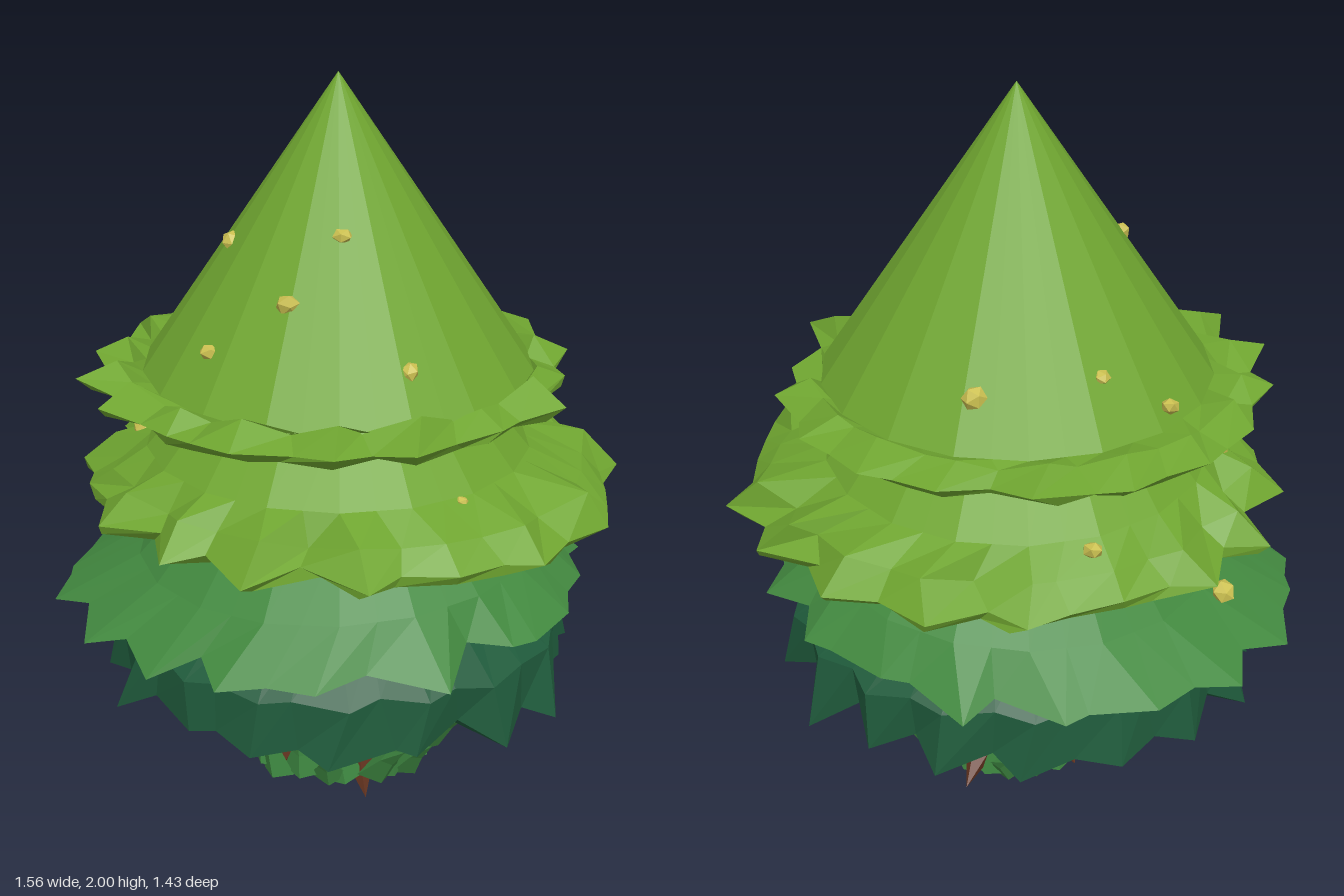
import * as THREE from 'three';
import { mergeGeometries } from 'three/addons/utils/BufferGeometryUtils.js';

const mat = (name, color) => Object.assign(new THREE.MeshStandardMaterial({ color }), { name });

function seeded(seed) {
  let s = seed;
  return () => {
    s = (s * 16807) % 2147483647;
    return s / 2147483647;
  };
}

// unshared corners give every facet its own normal
function faceted(geo) {
  const g = geo.index ? geo.toNonIndexed() : geo;
  g.deleteAttribute('uv');
  g.computeVertexNormals();
  return g;
}

// Foliage tier lofted from rings, top to bottom: [radius, y, radial jag, vertical jag].
// A positive vertical jag makes outward teeth droop, a negative one lifts them.
function tierGeometry(rings, { seed, cx = 0, cz = 0, sx = 1, tiltX = 0, tiltZ = 0 }) {
  const n = 36, rnd = seeded(seed);
  const teeth = Array.from({ length: n }, (_, j) => (j % 2 ? -0.5 : 0.5) + (rnd() - 0.5));
  const pos = [], index = [];
  rings.forEach(([r, y, dr = 0, dy = 0]) => {
    const k = dr ? 1 : 0;
    for (let j = 0; j < n; j++) {
      const a = ((j + k * (rnd() - 0.5) * 0.6) / n) * Math.PI * 2;
      const flat = j % 2 && !dr ? Math.cos((Math.PI * 2) / n) : 1;
      const t = teeth[j] * 0.85 + (rnd() - 0.5) * 0.6;
      const R = r * flat + dr * t;
      const x = Math.cos(a) * R * (k ? sx : 1) + cx * k, z = Math.sin(a) * R + cz * k;
      pos.push(x, y - dy * t + tiltX * x + tiltZ * z, z);
    }
  });
  for (let i = 0; i < rings.length - 1; i++) {
    for (let j = 0; j < n; j++) {
      const a = i * n + j, b = i * n + ((j + 1) % n), c = b + n, d = a + n;
      if (rings[i][0] > 0 && rings[i + 1][0] > 0) index.push(a, b, c, a, c, d);
      else index.push(...(rings[i][0] > 0 ? [a, b, c] : [a, c, d]));
    }
  }
  const g = new THREE.BufferGeometry();
  g.setAttribute('position', new THREE.Float32BufferAttribute(pos, 3));
  g.setIndex(index);
  return faceted(g);
}

export function createModel() {
  const tree = new THREE.Group();
  tree.name = 'layeredTree';
  const lime = mat('lime foliage', 0x6fa530);
  const green = mat('mid green foliage', 0x438a40);
  const dark = mat('dark green foliage', 0x1f5a3b);
  const bark = mat('brown bark', 0x63331f);
  const leaf = mat('grass green', 0x3f8a42);
  const gold = mat('gold nugget', 0xcabf50);

  const add = (name, geo, material) => {
    const m = new THREE.Mesh(geo, material);
    m.name = name;
    tree.add(m);
    return m;
  };

  // foliage tiers
  add('topTier', tierGeometry([
    [0, 2], [0.53, 1.225], [0.55, 1.235, 0.03, -0.04],
    [0.63, 1.2, 0.065, -0.018], [0.6, 1.17, 0.055, 0], [0, 1.17],
  ], { seed: 17, cx: -0.03, cz: -0.02, sx: 1.03 }), lime);
  add('secondTier', tierGeometry([
    [0, 1.21], [0.36, 1.2], [0.53, 1.0], [0.605, 0.94, 0.045, -0.025],
    [0.675, 0.88, 0.06, 0.012], [0.655, 0.853, 0.05, 0.005], [0, 0.855],
  ], { seed: 91, cx: 0.03, sx: 1.08, tiltZ: 0.035 }), lime);
  add('thirdTier', tierGeometry([
    [0, 0.9], [0.4, 0.88], [0.565, 0.7], [0.66, 0.57, 0.055, 0.03],
    [0.58, 0.585, 0.04, 0.02], [0, 0.6],
  ], { seed: 233, cx: -0.045, sx: 1.12, tiltX: 0.05, tiltZ: 0.02 }), green);
  add('bottomTier', tierGeometry([
    [0, 0.65], [0.48, 0.63], [0.61, 0.5, 0.02, 0.02], [0.63, 0.345, 0.05, 0.06],
    [0.56, 0.37, 0.035, 0.03], [0.5, 0.36], [0, 0.36],
  ], { seed: 407, sx: 1.05 }), dark);

  // trunk with a slight flare
  const trunk = new THREE.CylinderGeometry(0.25, 0.265, 0.35, 14, 1);
  add('trunk', faceted(trunk), bark).position.set(-0.018, 0.225, -0.012);

  // pointed roots: [angle from front, reach, tip height]
  const roots = [[0.42, 0.32, 0], [-0.5, 0.29, 0.03], [-1.3, 0.41, 0.05],
    [-2.45, 0.31, 0.05], [2.9, 0.41, 0.07], [1.7, 0.32, 0.04]];
  add('roots', mergeGeometries(roots.map(([b, reach, tipY]) => {
    const start = new THREE.Vector3(Math.sin(b) * 0.18, 0.18, Math.cos(b) * 0.18);
    const tip = new THREE.Vector3(Math.sin(b) * reach, tipY, Math.cos(b) * reach);
    const dir = tip.clone().sub(start);
    const g = new THREE.ConeGeometry(0.09, dir.length(), 5);
    g.translate(0, dir.length() / 2, 0);
    g.applyQuaternion(new THREE.Quaternion().setFromUnitVectors(
      new THREE.Vector3(0, 1, 0), dir.normalize()));
    g.translate(start.x, start.y, start.z);
    return faceted(g);
  })), bark);

  // ring of broad grass blades, some lying outward
  const rnd = seeded(5501), blades = [], count = 28;
  for (let i = 0; i < count; i++) {
    const h = 0.12 + rnd() * 0.1;
    const g = new THREE.ConeGeometry(0.046 + rnd() * 0.016, h, 4, 2);
    g.translate(0, h / 2, 0);
    g.scale(1, 1, 0.65);
    const p = g.attributes.position;
    for (let v = 0; v < p.count; v++) p.setZ(v, p.getZ(v) + 0.8 * p.getY(v) ** 2);
    g.rotateZ((rnd() - 0.5) * 0.7);
    g.rotateX(rnd() < 0.3 ? 0.6 : rnd() * 0.2);
    g.translate(0, 0.05 + rnd() * 0.025, 0.275 + rnd() * 0.035);
    g.rotateY(((i + rnd() * 0.5) / count) * Math.PI * 2);
    blades.push(faceted(g));
  }
  add('grassBlades', mergeGeometries(blades), leaf);

  // small nuggets resting on the foliage: [x, y, z, size]
  const nuggets = [[0.05, 1.64, 0.235, 0.025], [-0.262, 1.575, 0.11, 0.027],
    [-0.07, 1.485, 0.335, 0.032], [-0.27, 1.35, 0.335, 0.028], [0.24, 1.345, 0.37, 0.025],
    [0.05, 1.35, -0.45, 0.031], [-0.25, 1.37, -0.34, 0.022], [-0.42, 1.27, -0.285, 0.026],
    [-0.22, 0.8, 0.41, 0.026], [0.38, 1.0, 0.37, 0.02], [-0.25, 0.975, -0.51, 0.028],
    [-0.555, 0.985, 0.02, 0.028], [-0.59, 0.66, -0.19, 0.034]];
  nuggets.forEach(([x, y, z, size], i) => {
    const m = add('nugget', faceted(new THREE.IcosahedronGeometry(size)), gold);
    m.position.set(x, y, z);
    m.rotation.set(i, i * 2, 0);
    m.scale.set(1.1, 0.8, 1);
  });

  return tree;
}
